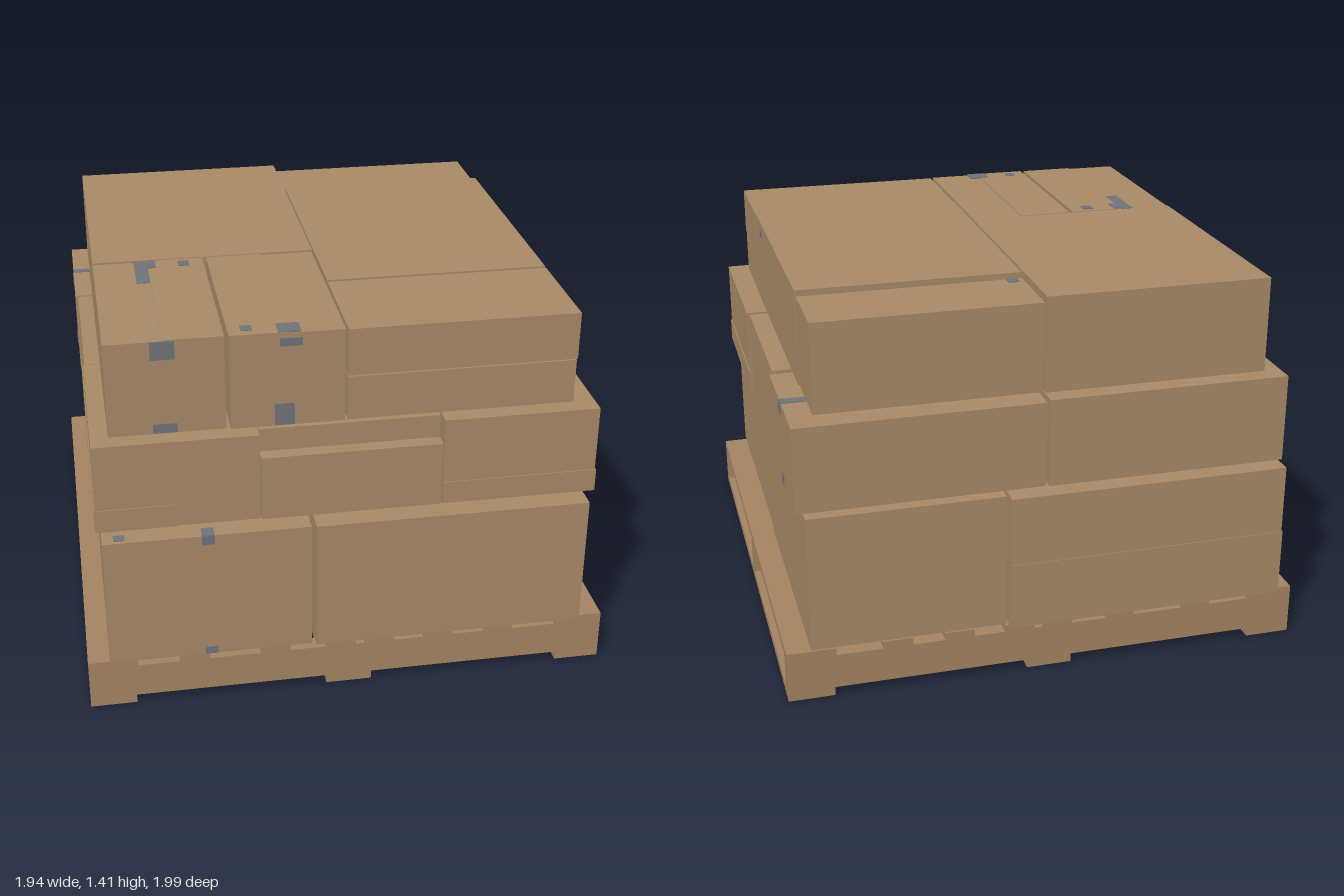
import * as THREE from 'three';

const cardboard = new THREE.MeshStandardMaterial({ color: 0xa98a67 });
cardboard.name = 'cardboard';
const wood = new THREE.MeshStandardMaterial({ color: 0xa58563 });
wood.name = 'pallet wood';
const tape = new THREE.MeshStandardMaterial({ color: 0x70757a });
tape.name = 'grey tape';

// Block given by its extents along x, y and z
function block(parent, name, material, x0, x1, y0, y1, z0, z1) {
  const mesh = new THREE.Mesh(new THREE.BoxGeometry(x1 - x0, y1 - y0, z1 - z0), material);
  mesh.position.set((x0 + x1) / 2, (y0 + y1) / 2, (z0 + z1) / 2);
  mesh.name = name;
  parent.add(mesh);
}

function layer(parent, name, boxes) {
  const group = new THREE.Group();
  group.name = name;
  boxes.forEach(([part, ...extents]) => block(group, part, cardboard, ...extents));
  parent.add(group);
}

function buildPallet() {
  const pallet = new THREE.Group();
  pallet.name = 'pallet';
  // Bottom runners, front to back
  [[-0.97, -0.8], [-0.09, 0.08], [0.8, 0.97]].forEach(([a, b]) =>
    block(pallet, 'bottomRunner', wood, a, b, 0, 0.033, -0.97, 0.97));
  // Upright stringers, side to side
  [[-0.97, -0.908], [-0.03, 0.03], [0.908, 0.97]].forEach(([a, b]) =>
    block(pallet, 'stringer', wood, -0.97, 0.97, 0.033, 0.165, a, b));
  // Deck slats, front to back
  [[-0.97, -0.79], [0.79, 0.97]].forEach(([a, b]) =>
    block(pallet, 'outerSlat', wood, a, b, 0.165, 0.193, -0.97, 0.97));
  [-0.58, -0.28, -0.035, 0.11, 0.335, 0.565].forEach((x) =>
    block(pallet, 'deckSlat', wood, x - 0.056, x + 0.056, 0.165, 0.193, -0.97, 0.97));
  return pallet;
}

export function createModel() {
  const model = new THREE.Group();
  model.name = 'loadedPallet';
  model.add(buildPallet());

  // Each box: name, x range, y range, z range
  layer(model, 'bottomLayer', [
    ['frontRightBox', -0.89, -0.148, 0.195, 0.7, 0.28, 0.98],
    ['frontLeftBox', -0.132, 0.875, 0.195, 0.705, 0.004, 0.992],
    ['backRightBox', -0.9, 0.15, 0.195, 0.712, -0.997, -0.003],
    ['backLeftBox', 0.16, 0.88, 0.195, 0.712, -0.965, -0.003],
    ['fillerBox', -0.885, -0.148, 0.195, 0.7, 0.003, 0.27],
    ['sideFlap', -0.905, -0.9, 0.195, 0.45, -0.997, -0.003],
    ['backFlap', -0.9, 0.15, 0.195, 0.45, -1.0, -0.997],
  ]);

  layer(model, 'middleLayer', [
    ['frontRightBox', -0.905, -0.322, 0.715, 1.052, 0.26, 0.918],
    ['frontMiddleBox', -0.318, 0.334, 0.715, 0.962, 0.26, 0.925],
    ['frontMiddleBoxTop', -0.318, 0.334, 0.962, 1.05, 0.26, 0.872],
    ['frontLeftBox', 0.34, 0.91, 0.715, 1.052, 0.265, 0.92],
    ['centreBox', -0.9, 0.9, 0.715, 1.05, -0.4, 0.252],
    ['backRightBox', -0.91, -0.006, 0.718, 1.05, -0.935, -0.41],
    ['backLeftBox', 0.006, 0.91, 0.718, 1.04, -0.93, -0.408],
    ['lowerFlap', -0.909, -0.62, 0.715, 0.802, 0.26, 0.922],
    ['lowerFlap', 0.34, 0.914, 0.715, 0.802, 0.255, 0.924],
  ]);

  layer(model, 'topLayer', [
    ['frontRightBox', -0.842, -0.43, 1.058, 1.408, 0.145, 0.86],
    ['frontMiddleBox', -0.415, -0.01, 1.055, 1.408, 0.145, 0.862],
    ['frontLeftLowerBox', 0, 0.828, 1.055, 1.222, 0.442, 0.858],
    ['frontLeftUpperBox', 0, 0.83, 1.228, 1.406, 0.442, 0.862],
    ['longLeftBox', 0, 0.828, 1.052, 1.41, -0.575, 0.436],
    ['backLeftBox', 0, 0.824, 1.055, 1.388, -0.865, -0.579],
    ['longRightBox', -0.842, -0.006, 1.055, 1.412, -0.875, 0.138],
    ['topFlap', -0.64, -0.43, 1.408, 1.412, 0.145, 0.86],
    ['topFlap', -0.415, -0.21, 1.408, 1.412, 0.145, 0.862],
  ]);

  // Tape patches as thin plates lying on the box faces
  const patches = new THREE.Group();
  patches.name = 'tapePatches';
  [
    // Front faces: x range, y range, z of the face
    [-0.685, -0.6, 1.34, 1.408, 0.86],
    [-0.685, -0.6, 1.06, 1.095, 0.86],
    [-0.24, -0.16, 1.36, 1.39, 0.862],
    [-0.26, -0.19, 1.057, 1.14, 0.862],
    [-0.54, -0.495, 0.665, 0.7, 0.98],
    [-0.54, -0.495, 0.196, 0.225, 0.98],
  ].forEach(([x0, x1, y0, y1, z]) =>
    block(patches, 'frontTape', tape, x0, x1, y0, y1, z - 0.002, z + 0.003));
  [
    // Top faces: x range, z range, y of the face
    [-0.69, -0.64, 0.15, 0.35, 1.408],
    [-0.64, -0.61, 0.15, 0.22, 1.412],
    [-0.525, -0.485, 0.17, 0.215, 1.412],
    [-0.37, -0.33, 0.79, 0.83, 1.412],
    [-0.245, -0.165, 0.79, 0.86, 1.411],
    [0.02, 0.06, -0.62, -0.582, 1.388],
    [-0.91, -0.84, -0.695, -0.665, 1.05],
    [0.82, 0.91, -0.7, -0.66, 1.04],
    [-0.85, -0.81, 0.93, 0.965, 0.7],
    [-0.54, -0.495, 0.93, 0.98, 0.7],
  ].forEach(([x0, x1, z0, z1, y]) =>
    block(patches, 'topTape', tape, x0, x1, y - 0.002, y + 0.003, z0, z1));
  // Tape on both ends of the rear middle boxes
  [-0.91, 0.91].forEach((x) => [[0.722, 0.765], [0.995, 1.038]].forEach(([y0, y1]) =>
    block(patches, 'sideTape', tape, x - 0.003, x + 0.003, y0, y1, -0.695, -0.65)));
  block(patches, 'sideTape', tape, 0.826, 0.831, 1.35, 1.38, 0.3, 0.34);
  model.add(patches);

  return model;
}
